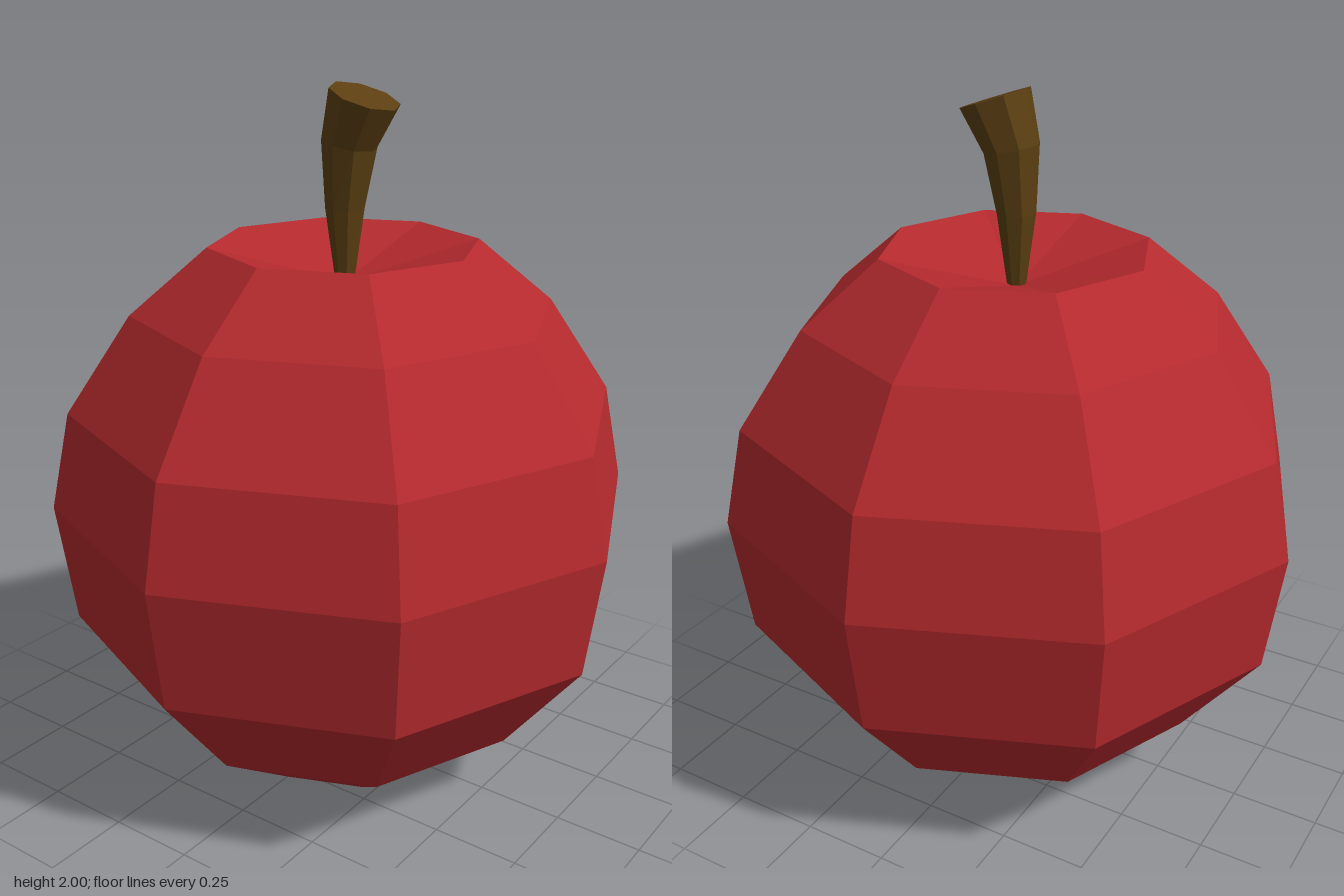
import * as THREE from 'three';

const SIDES = 8;

// Faceted eight-sided fruit with a flat base and a dimple in the crown
function makeBody() {
  const profile = [
    [0, 0], [0.295, 0], [0.565, 0.185], [0.795, 0.48], [0.843, 0.83],
    [0.785, 1.11], [0.6, 1.385], [0.382, 1.567], [0, 1.46],
  ].map(([r, y]) => new THREE.Vector2(r, y));
  const body = new THREE.Mesh(
    new THREE.LatheGeometry(profile, SIDES),
    new THREE.MeshStandardMaterial({ color: 0xb52a2e, flatShading: true })
  );
  body.name = 'fruitBody';
  return body;
}

// Stem that widens upward while bending toward +x
function makeStem() {
  const rings = [
    { x: 0, y: 1.44, r: 0.024, tilt: 0 },
    { x: 0, y: 1.665, r: 0.055, tilt: 0.05 },
    { x: 0.015, y: 1.84, r: 0.078, tilt: 0.2 },
    { x: 0.065, y: 1.967, r: 0.1, tilt: 0.33 },
  ];
  const last = rings.length - 1;
  const geometry = new THREE.CylinderGeometry(1, 1, last, SIDES, last);
  const pos = geometry.attributes.position;
  for (let i = 0; i < pos.count; i++) {
    const ring = rings[Math.round(pos.getY(i) + last / 2)];
    const across = pos.getX(i) * ring.r;
    pos.setXYZ(
      i,
      ring.x + across * Math.cos(ring.tilt),
      ring.y - across * Math.sin(ring.tilt),
      pos.getZ(i) * ring.r
    );
  }
  geometry.computeVertexNormals();
  const stem = new THREE.Mesh(
    geometry,
    new THREE.MeshStandardMaterial({ color: 0x5c4012, flatShading: true })
  );
  stem.name = 'stem';
  return stem;
}

export function createModel() {
  const group = new THREE.Group();
  group.name = 'apple';
  group.add(makeBody(), makeStem());
  return group;
}
